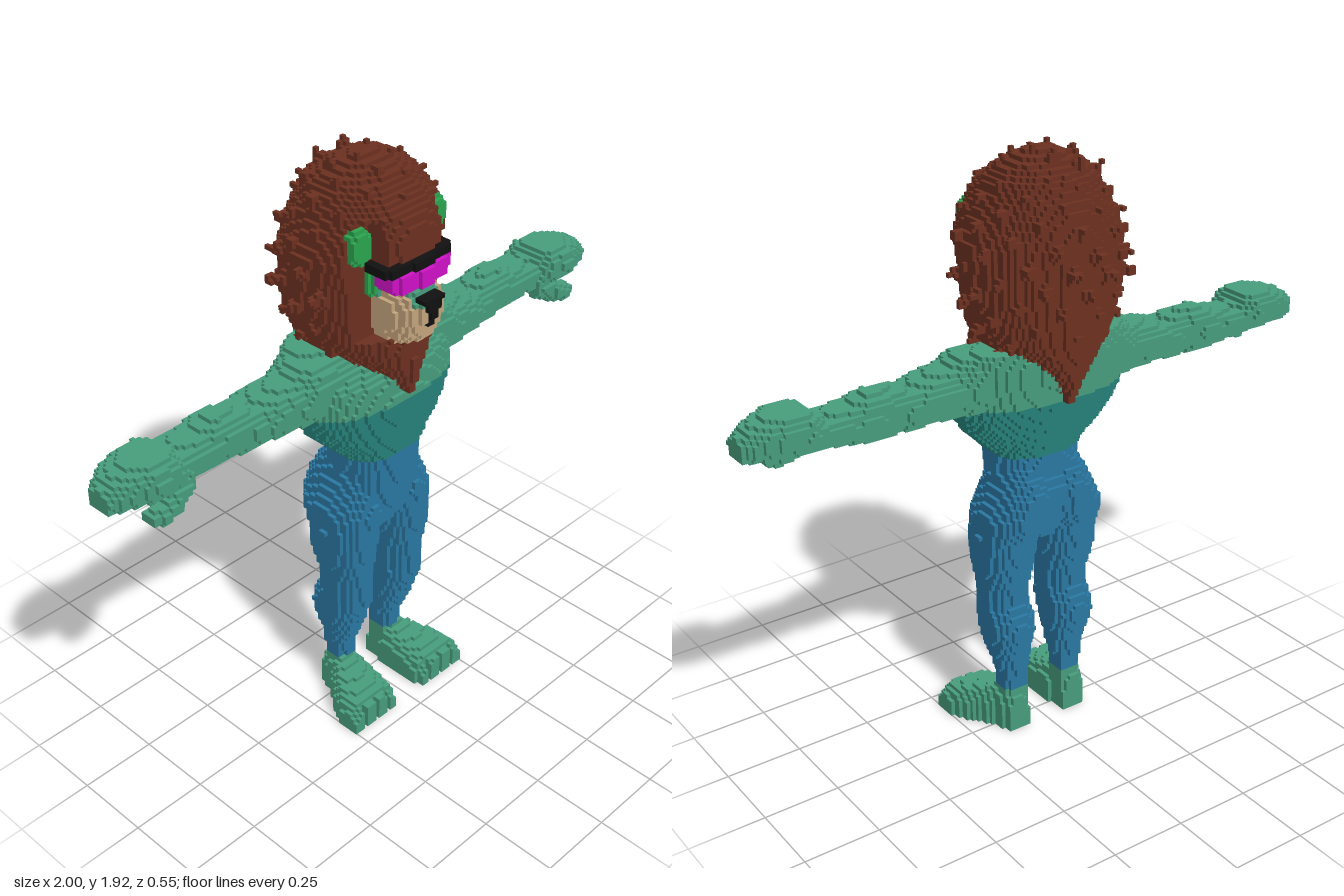
import * as THREE from 'three';

const H = 2 / 150;                 // voxel edge
const NX = 150, NY = 146, NZ = 44; // grid size, centred on x and z

const mat = (name, color) => {
  const m = new THREE.MeshStandardMaterial({ color });
  m.name = name;
  return m;
};

// Loft of rounded sections. Row: [t, a0, a1, b0, b1], extents at position t on the axis.
function loft(axis, rows, p = 2.3) {
  return (x, y, z) => {
    const [t, a, b] = axis === 'y' ? [y, x, z] : axis === 'x' ? [x, y, z] : [z, x, y];
    if (t < rows[0][0] || t > rows[rows.length - 1][0]) return false;
    let i = 0;
    while (i < rows.length - 2 && t > rows[i + 1][0]) i++;
    const r = rows[i], s = rows[i + 1], f = (t - r[0]) / (s[0] - r[0]);
    const [a0, a1, b0, b1] = [1, 2, 3, 4].map((k) => r[k] + (s[k] - r[k]) * f);
    const u = Math.abs((2 * a - a0 - a1) / (a1 - a0));
    const v = Math.abs((2 * b - b0 - b1) / (b1 - b0));
    return u ** p + v ** p <= 1;
  };
}
// Loft symmetric in x. Row: [y, halfWidth, back, front].
const trunk = (rows, p) => loft('y', rows.map(([y, w, b, f]) => [y, -w, w, b, f]), p);
const ball = (cx, cy, cz, rx, ry, rz) => (x, y, z) =>
  ((x - cx) / rx) ** 2 + ((y - cy) / ry) ** 2 + ((z - cz) / rz) ** 2 <= 1;

// Pointed tufts of hair spread over the mane
function makeTufts(count) {
  const tufts = [];
  for (let i = 0; i < count; i++) {
    const dy = 1 - (2 * (i + 0.5)) / count, r = Math.sqrt(1 - dy * dy), a = i * 2.39996;
    const d = new THREE.Vector3(r * Math.cos(a), dy, r * Math.sin(a));
    const base = new THREE.Vector3(d.x * 0.212, 1.57 + d.y * 0.285, -0.025 + d.z * 0.175);
    if (base.z > 0.05 && base.y < 1.72) continue;
    const axis = d.clone().add(new THREE.Vector3(0, 0.1, -0.15)).normalize();
    tufts.push({ base, axis, length: 0.065 + 0.02 * ((i * 7) % 5) / 4 });
  }
  return tufts;
}

export function createModel() {
  const skin = mat('sea green skin', 0x489d7d);
  const teal = mat('teal shirt', 0x268079);
  const blue = mat('blue trousers', 0x2a78a3);
  const brown = mat('brown mane', 0x6c3020);
  const tan = mat('tan muzzle', 0xc4a57d);
  const green = mat('bright green', 0x2ba54f);
  const magenta = mat('magenta lens', 0xd012c8);
  const black = mat('black', 0x111111);

  const torso = trunk([
    [0.68, 0.06, -0.06, 0.09], [0.75, 0.14, -0.1, 0.125], [0.85, 0.15, -0.125, 0.14],
    [0.9, 0.14, -0.1, 0.142], [0.97, 0.145, -0.09, 0.15], [1.0, 0.165, -0.1, 0.157],
    [1.05, 0.22, -0.12, 0.163], [1.1, 0.26, -0.14, 0.168], [1.17, 0.295, -0.16, 0.175],
    [1.25, 0.3, -0.172, 0.155], [1.3, 0.29, -0.17, 0.09], [1.35, 0.25, -0.15, 0.02]]);
  const leg = loft('y', [
    [0.08, 0.065, 0.145, -0.06, 0.02], [0.2, 0.06, 0.15, -0.06, 0.025],
    [0.25, 0.052, 0.16, -0.065, 0.045], [0.3, 0.045, 0.177, -0.075, 0.065],
    [0.36, 0.037, 0.19, -0.095, 0.085], [0.4, 0.035, 0.19, -0.088, 0.1],
    [0.46, 0.042, 0.183, -0.06, 0.102], [0.52, 0.042, 0.185, -0.065, 0.105],
    [0.6, 0.03, 0.203, -0.085, 0.115], [0.7, 0.018, 0.207, -0.1, 0.125],
    [0.77, 0.0, 0.2, -0.14, 0.13], [0.85, 0.0, 0.16, -0.135, 0.12], [0.93, 0.01, 0.13, -0.09, 0.1]]);
  const foot = loft('z', [
    [-0.07, 0.075, 0.145, -0.1, 0.11], [-0.04, 0.065, 0.155, -0.1, 0.145],
    [0.0, 0.06, 0.165, -0.1, 0.155], [0.06, 0.05, 0.215, -0.1, 0.125],
    [0.12, 0.048, 0.25, -0.1, 0.108], [0.17, 0.055, 0.258, -0.1, 0.095],
    [0.205, 0.075, 0.25, -0.1, 0.065]], 3);
  const toeGap = (x, z) => z > 0.17 && [0.1, 0.153, 0.207].some((g) => Math.abs(x - g) < H / 2);
  const arm = loft('x', [
    [0.13, 1.15, 1.34, -0.13, 0.1], [0.27, 1.155, 1.34, -0.12, 0.1],
    [0.32, 1.162, 1.312, -0.105, 0.09], [0.41, 1.17, 1.298, -0.107, 0.08],
    [0.46, 1.172, 1.283, -0.112, 0.072], [0.52, 1.165, 1.3, -0.095, 0.058],
    [0.6, 1.163, 1.305, -0.102, 0.05], [0.67, 1.175, 1.283, -0.102, 0.05],
    [0.75, 1.19, 1.272, -0.108, 0.06], [0.8, 1.19, 1.312, -0.115, 0.085],
    [0.87, 1.19, 1.312, -0.11, 0.09], [0.93, 1.19, 1.298, -0.095, 0.065],
    [0.97, 1.192, 1.28, -0.075, 0.05], [1.0, 1.2, 1.255, -0.055, 0.03]]);
  const thumb = loft('x', [
    [0.74, 1.165, 1.23, 0.0, 0.07], [0.81, 1.13, 1.2, 0.01, 0.09],
    [0.86, 1.12, 1.17, 0.02, 0.09], [0.89, 1.13, 1.165, 0.03, 0.08]]);

  const maneCore = trunk([
    [1.17, 0.015, -0.2, 0.1], [1.2, 0.025, -0.2, 0.19], [1.25, 0.07, -0.215, 0.195],
    [1.3, 0.125, -0.22, 0.195], [1.35, 0.185, -0.225, 0.19], [1.4, 0.215, -0.225, 0.18],
    [1.5, 0.245, -0.225, 0.16], [1.6, 0.25, -0.225, 0.17], [1.66, 0.25, -0.23, 0.2],
    [1.72, 0.225, -0.22, 0.205], [1.78, 0.195, -0.2, 0.18], [1.84, 0.16, -0.165, 0.12],
    [1.88, 0.1, -0.1, 0.06], [1.905, 0.04, -0.04, 0.01]], 2.1);
  const tufts = makeTufts(120);
  const v = new THREE.Vector3();
  const mane = (x, y, z, sx) => {
    if (y < 1.16 || x > 0.32) return false;
    if (z > 0.11 && y > 1.4 && (y < 1.66 || (x > 0.105 && y < 1.77))) return false; // face opening
    if (maneCore(x, y, z)) return true;
    return tufts.some(({ base, axis, length }) => {
      v.set(sx, y, z).sub(base);
      const t = v.dot(axis);
      if (t < -0.03 || t > length) return false;
      const r = 0.036 * (1 - t / length) + 0.004;
      return v.lengthSq() - t * t < r * r;
    });
  };

  const muzzle = trunk([
    [1.385, 0.06, 0.05, 0.2], [1.42, 0.085, 0.03, 0.235], [1.48, 0.1, 0.02, 0.252],
    [1.53, 0.09, 0.02, 0.252], [1.58, 0.06, 0.02, 0.21]], 2.5);
  const face = ball(0, 1.56, 0.06, 0.115, 0.14, 0.115);
  const cheek = ball(0, 1.59, 0.05, 0.15, 0.11, 0.115);
  const ear = ball(0.15, 1.705, 0.108, 0.042, 0.057, 0.032);
  const nose = (x, y, z) => z > 0.2 && (
    (y > 1.485 && y < 1.55 && z < 0.27 && x < 0.012 + (y - 1.485) * 0.45) ||
    (y > 1.45 && y <= 1.485 && z < 0.258 && x < 0.012));

  // Earlier parts win where parts overlap; x is mirrored, sx keeps its sign
  const parts = [
    ['nose', black, nose],
    ['glassesFrame', black, (x, y, z) => y > 1.628 && y < 1.655 && x < 0.132 && z > 0.12 && z < 0.222 - x * x],
    ['glassesLens', magenta, (x, y, z) => y > 1.575 && y <= 1.628 && z > 0.15 && z < 0.235 - x * x * 1.5
      && x < 0.122 - Math.max(0, 1.595 - y)],
    ['noseBridge', skin, (x, y, z) => y > 1.525 && x < 0.055 && muzzle(x, y, z)],
    ['muzzle', tan, muzzle],
    ['ear', green, ear, true],
    ['face', skin, (x, y, z) => x < 0.1 && y < 1.63 && face(x, y, z)],
    ['cheeks', green, (x, y, z) => z > 0.1 && cheek(x, y, z)],
    ['mane', brown, mane],
    ['foot', skin, (x, y, z) => y < 0.147 && ((foot(x, y, z) && !toeGap(x, z)) || leg(x, y, z)), true],
    ['trouserLeg', blue, (x, y, z) => y < 0.97 && leg(x, y, z), true],
    ['trouserWaist', blue, (x, y, z) => y < 0.97 && torso(x, y, z)],
    ['shirt', teal, (x, y, z) => y < 1.167 && torso(x, y, z)],
    ['chest', skin, torso],
    ['arm', skin, arm, true],
    ['thumb', skin, thumb, true],
  ];

  // Fill the grid with part numbers
  const grid = new Uint8Array(NX * NY * NZ);
  const at = (i, j, k) => (i < 0 || j < 0 || k < 0 || i >= NX || j >= NY || k >= NZ ? 0 : grid[(k * NY + j) * NX + i]);
  for (let k = 0; k < NZ; k++) for (let j = 0; j < NY; j++) for (let i = 0; i < NX; i++) {
    const sx = (i + 0.5 - NX / 2) * H, y = (j + 0.5) * H, z = (k + 0.5 - NZ / 2) * H;
    grid[(k * NY + j) * NX + i] = 1 + parts.findIndex((p) => p[2](Math.abs(sx), y, z, sx));
  }

  // Emit the exposed cube faces of every part, split left and right for paired parts
  const buckets = new Map();
  for (let k = 0; k < NZ; k++) for (let j = 0; j < NY; j++) for (let i = 0; i < NX; i++) {
    const id = at(i, j, k);
    if (!id) continue;
    const [name, material, , paired] = parts[id - 1];
    const key = paired ? (i >= NX / 2 ? 'left ' : 'right ') + name : name;
    if (!buckets.has(key)) buckets.set(key, { material, pos: [], nor: [] });
    const { pos, nor } = buckets.get(key);
    for (let axis = 0; axis < 3; axis++) for (const s of [-1, 1]) {
      const n = [0, 0, 0];
      n[axis] = s;
      if (at(i + n[0], j + n[1], k + n[2])) continue;
      const corners = [[0, 0], [1, 0], [1, 1], [0, 0], [1, 1], [0, 1]];
      if (s < 0) corners.reverse();
      for (const [a, b] of corners) {
        const c = [i - NX / 2, j, k - NZ / 2];
        c[axis] += s > 0 ? 1 : 0;
        c[(axis + 1) % 3] += a;
        c[(axis + 2) % 3] += b;
        pos.push(c[0] * H, c[1] * H, c[2] * H);
        nor.push(...n);
      }
    }
  }

  const model = new THREE.Group();
  model.name = 'lionFigure';
  for (const [name, { material, pos, nor }] of buckets) {
    const geometry = new THREE.BufferGeometry();
    geometry.setAttribute('position', new THREE.Float32BufferAttribute(pos, 3));
    geometry.setAttribute('normal', new THREE.Float32BufferAttribute(nor, 3));
    const mesh = new THREE.Mesh(geometry, material);
    mesh.name = name;
    model.add(mesh);
  }
  return model;
}
